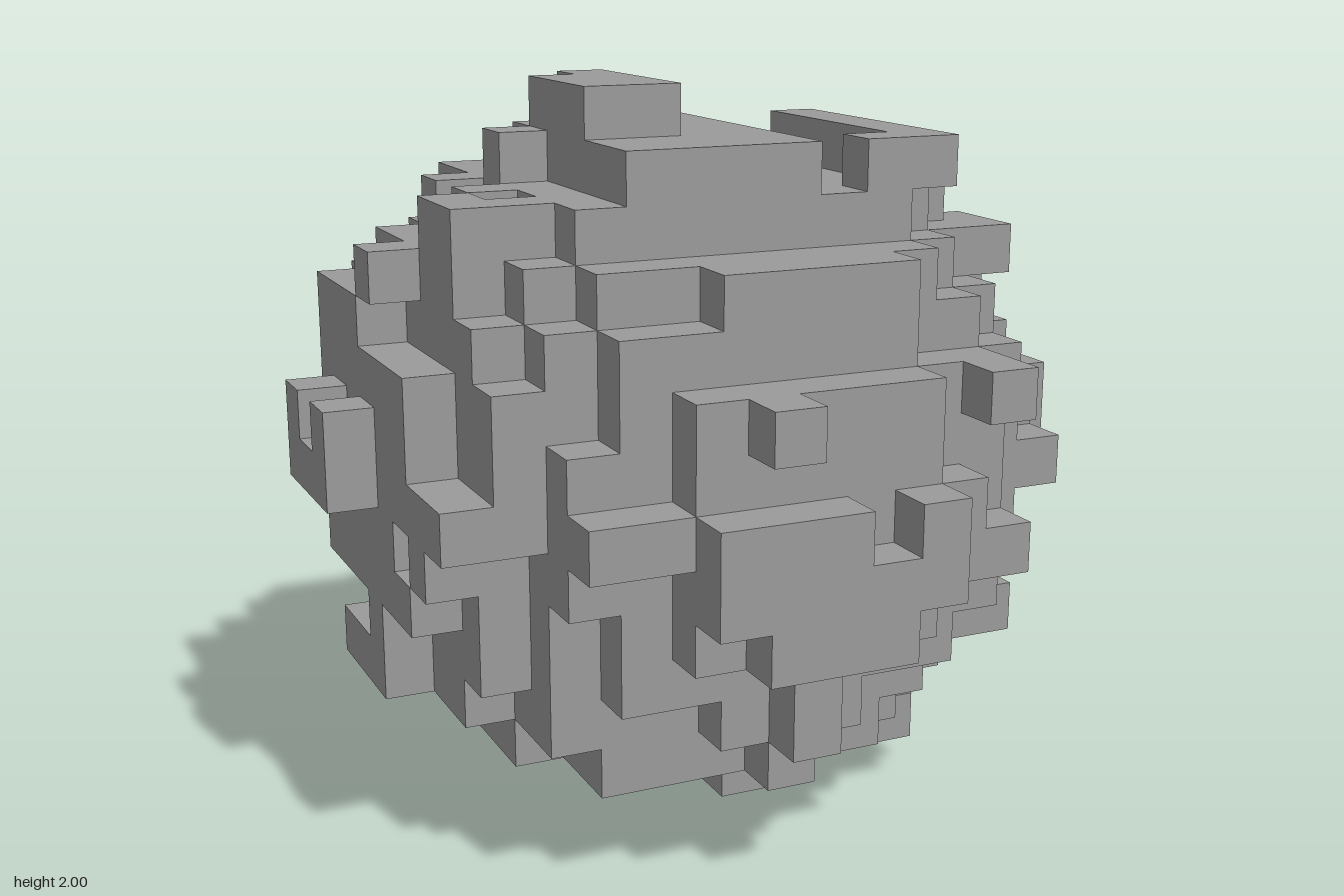
import * as THREE from 'three';

const N = 15, C = 7, S = 2 / N;

// Outline of the rough ball on each plane: filled [from, to] runs per row
const FRONT = [ // rows of y, runs of x
  [7, 7], [5, 8, 11, 11], [3, 12], [1, 13], [1, 13], [1, 12], [1, 14], [0, 14],
  [0, 14], [1, 13], [1, 13], [1, 13], [2, 12], [4, 8, 10, 11], [5, 6]];
const SIDE = [ // rows of y, runs of z
  [7, 7], [3, 10], [2, 12], [1, 13], [1, 13], [0, 14], [0, 14], [0, 14],
  [0, 13], [0, 14], [1, 12], [2, 12], [2, 10], [4, 10], [5, 8]];
const PLAN = [ // rows of z, runs of x
  [5, 8], [3, 11], [2, 12], [2, 13], [1, 13], [0, 14], [0, 14], [0, 14],
  [1, 14], [1, 14], [1, 13], [1, 13], [3, 11], [3, 11], [5, 9]];

// Raised plates, bars and single blocks: x, y, z ranges
const RAISED = {
  front: [
    [5, 7, 7, 7, 14, 14], [5, 8, 6, 6, 14, 14], [6, 8, 5, 5, 14, 14], [9, 9, 6, 7, 13, 14],
    [6, 6, 9, 9, 13, 14], [8, 8, 9, 9, 13, 13], [11, 11, 9, 9, 12, 13], [11, 11, 6, 6, 12, 13]],
  left: [
    [14, 14, 7, 8, 5, 9], [14, 14, 6, 6, 5, 6], [12, 12, 11, 11, 4, 9], [12, 12, 12, 12, 4, 4],
    [13, 13, 11, 11, 8, 9], [13, 13, 3, 4, 8, 8]],
  right: [
    [0, 0, 7, 7, 5, 7], [0, 0, 8, 8, 5, 5], [0, 0, 8, 8, 7, 7], [1, 1, 7, 10, 4, 6],
    [1, 1, 9, 9, 8, 9], [1, 1, 3, 3, 5, 7], [2, 2, 12, 12, 8, 9]],
  back: [
    [4, 10, 10, 10, 1, 1], [3, 3, 4, 9, 1, 1], [6, 6, 8, 9, 0, 0], [5, 5, 6, 7, 0, 0],
    [6, 8, 5, 5, 0, 0], [8, 8, 6, 6, 0, 0], [7, 7, 11, 12, 2, 2], [5, 6, 11, 12, 3, 4],
    [8, 9, 11, 11, 2, 2], [2, 2, 9, 10, 3, 3], [2, 2, 7, 7, 2, 3], [11, 12, 5, 7, 2, 2],
    [11, 12, 4, 6, 3, 3]],
  top: [
    [5, 6, 14, 14, 6, 8], [6, 6, 14, 14, 5, 5], [11, 11, 13, 13, 5, 10], [10, 10, 13, 13, 10, 10],
    [5, 7, 13, 13, 5, 8], [8, 8, 13, 13, 4, 9], [5, 5, 12, 13, 9, 10], [7, 7, 13, 13, 10, 10]],
  bottom: [[7, 7, 0, 0, 7, 7], [5, 8, 1, 1, 6, 8], [11, 11, 1, 1, 7, 9]],
};

// Gaps left open in the shell beside the raised bars
const GAPS = [[10, 10, 13, 13, 4, 9], [11, 11, 13, 13, 4, 4]];

const inRuns = (runs, v) => {
  for (let i = 0; i < runs.length; i += 2) if (v >= runs[i] && v <= runs[i + 1]) return true;
  return false;
};
const inBox = ([x0, x1, y0, y1, z0, z1], [x, y, z]) =>
  x >= x0 && x <= x1 && y >= y0 && y <= y1 && z >= z0 && z <= z1;
const allowed = (x, y, z) =>
  inRuns(FRONT[y], x) && inRuns(SIDE[y], z) && inRuns(PLAN[z], x);
const radius = (x, y, z) => Math.hypot(x - C, y - C, z - C);

function seeded(seed) {
  return () => {
    seed = (Math.imul(seed, 1664525) + 1013904223) >>> 0;
    return seed / 4294967296;
  };
}

const DIRS = [[1, 0, 0], [-1, 0, 0], [0, 1, 0], [0, -1, 0], [0, 0, 1], [0, 0, -1]];

// Returns a test for filled cells
function fillCells() {
  const filled = new Set();
  const key = (x, y, z) => (x * 32 + y) * 32 + z;
  const has = (x, y, z) => filled.has(key(x, y, z));
  const add = (x, y, z) => filled.add(key(x, y, z));

  const cells = [];
  for (let x = 0; x < N; x++)
    for (let y = 0; y < N; y++)
      for (let z = 0; z < N; z++)
        if (allowed(x, y, z)) cells.push([x, y, z]);
  cells.sort((a, b) => radius(...a) - radius(...b));

  // Solid core with a ragged shell that thins out with distance
  const raised = Object.values(RAISED).flat();
  const random = seeded(11);
  for (const c of cells) {
    const [x, y, z] = c, d = radius(x, y, z), r = random();
    const onCap = c.some((v) => v === 0 || v === N - 1);
    const held = DIRS.some(([i, j, k]) =>
      radius(x + i, y + j, z + k) < d && has(x + i, y + j, z + k));
    const shell = !onCap && held && r < (7.25 - d) / 0.9 && !GAPS.some((b) => inBox(b, c));
    if (d < 6.15 || shell || raised.some((b) => inBox(b, c))) add(x, y, z);
  }

  // Complete the outlines with the innermost cell of any empty line of sight
  for (const [a, b] of [[0, 1], [2, 1], [0, 2]]) {
    const seen = new Set();
    for (const c of cells) if (has(...c)) seen.add(c[a] * N + c[b]);
    for (const c of cells) {
      const line = c[a] * N + c[b];
      if (!seen.has(line)) { seen.add(line); add(...c); }
    }
  }
  return has;
}

// Outer faces of all filled cells
function blockGeometry(has) {
  const pos = [], nor = [];
  for (let x = 0; x < N; x++)
    for (let y = 0; y < N; y++)
      for (let z = 0; z < N; z++) {
        if (!has(x, y, z)) continue;
        const mid = new THREE.Vector3((x - C) * S, (y + 0.5) * S, (z - C) * S);
        for (const d of DIRS) {
          if (has(x + d[0], y + d[1], z + d[2])) continue;
          const n = new THREE.Vector3(...d);
          const u = new THREE.Vector3(d[1], d[2], d[0]);
          const v = new THREE.Vector3().crossVectors(n, u);
          for (const [i, j] of [[-1, -1], [1, -1], [1, 1], [-1, -1], [1, 1], [-1, 1]]) {
            const p = mid.clone().addScaledVector(n, S / 2)
              .addScaledVector(u, i * S / 2).addScaledVector(v, j * S / 2);
            pos.push(p.x, p.y, p.z);
            nor.push(...d);
          }
        }
      }
  const g = new THREE.BufferGeometry();
  g.setAttribute('position', new THREE.Float32BufferAttribute(pos, 3));
  g.setAttribute('normal', new THREE.Float32BufferAttribute(nor, 3));
  return g;
}

export function createModel() {
  const group = new THREE.Group();
  group.name = 'blockBoulder';
  const material = new THREE.MeshStandardMaterial({ color: 0x9b9b9b });
  const boulder = new THREE.Mesh(blockGeometry(fillCells()), material);
  boulder.name = 'boulder';
  group.add(boulder);
  return group;
}
